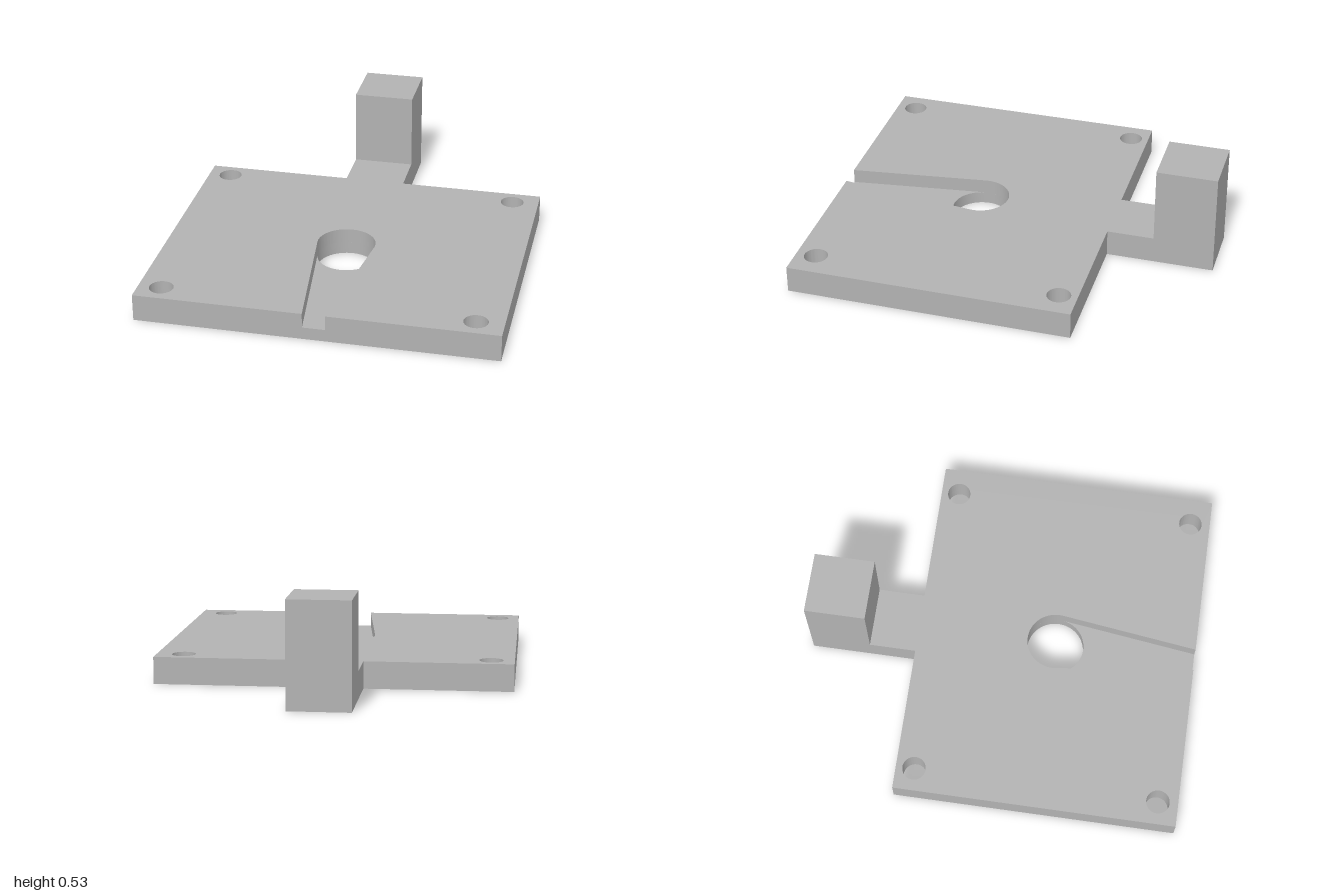
import * as THREE from 'three';
import { toCreasedNormals } from 'three/addons/utils/BufferGeometryUtils.js';

const FLOOR = 0.063, TOP = 0.138, POST_TOP = 0.53;
const HOLE_Z = 0.27, HOLE_R = 0.148, TANGENT = 0.13;

// Plate outline with its rear tab, drawn in (x, -z); optionally cut by the tapered slot
function plateShape(withSlot) {
  const s = new THREE.Shape();
  s.moveTo(-0.9, -1);
  if (withSlot) {
    s.lineTo(-0.057, -1);
    s.lineTo(-HOLE_R * Math.cos(TANGENT), -HOLE_Z - HOLE_R * Math.sin(TANGENT));
    s.absarc(0, -HOLE_Z, HOLE_R, Math.PI + TANGENT, -TANGENT, true);
    s.lineTo(0.057, -1);
  }
  for (const [x, y] of [[0.9, -1], [0.9, 0.45], [0.156, 0.45], [0.156, 1],
    [-0.156, 1], [-0.156, 0.45], [-0.9, 0.45]]) s.lineTo(x, y);
  s.closePath();

  const drill = (x, z, r) => {
    const h = new THREE.Path();
    h.absarc(x, -z, r, 0, Math.PI * 2, true);
    s.holes.push(h);
  };
  // Four corner screw holes
  for (const x of [-0.784, 0.762]) for (const z of [-0.356, 0.897]) drill(x, z, 0.06);
  if (!withSlot) drill(0, HOLE_Z, HOLE_R);
  return s;
}

export function createModel() {
  const group = new THREE.Group();
  const grey = new THREE.MeshStandardMaterial({ color: 0xb2b2b2 });
  grey.name = 'grey';

  const addLayer = (name, shape, y0, y1) => {
    let geo = new THREE.ExtrudeGeometry(shape, { depth: y1 - y0, bevelEnabled: false, curveSegments: 32 });
    geo.rotateX(-Math.PI / 2);
    geo = toCreasedNormals(geo, 0.5);
    geo.clearGroups();
    const mesh = new THREE.Mesh(geo, grey);
    mesh.name = name;
    mesh.position.y = y0;
    group.add(mesh);
  };

  // Lower layer forms the slot floor, upper layer carries the slot walls
  addLayer('lowerPlate', plateShape(false), 0, FLOOR);
  addLayer('upperPlate', plateShape(true), FLOOR, TOP);

  // Upright post at the end of the tab
  const post = new THREE.Mesh(new THREE.BoxGeometry(0.312, POST_TOP - TOP, 0.31), grey);
  post.name = 'post';
  post.position.set(0, (POST_TOP + TOP) / 2, -0.845);
  group.add(post);

  return group;
}
